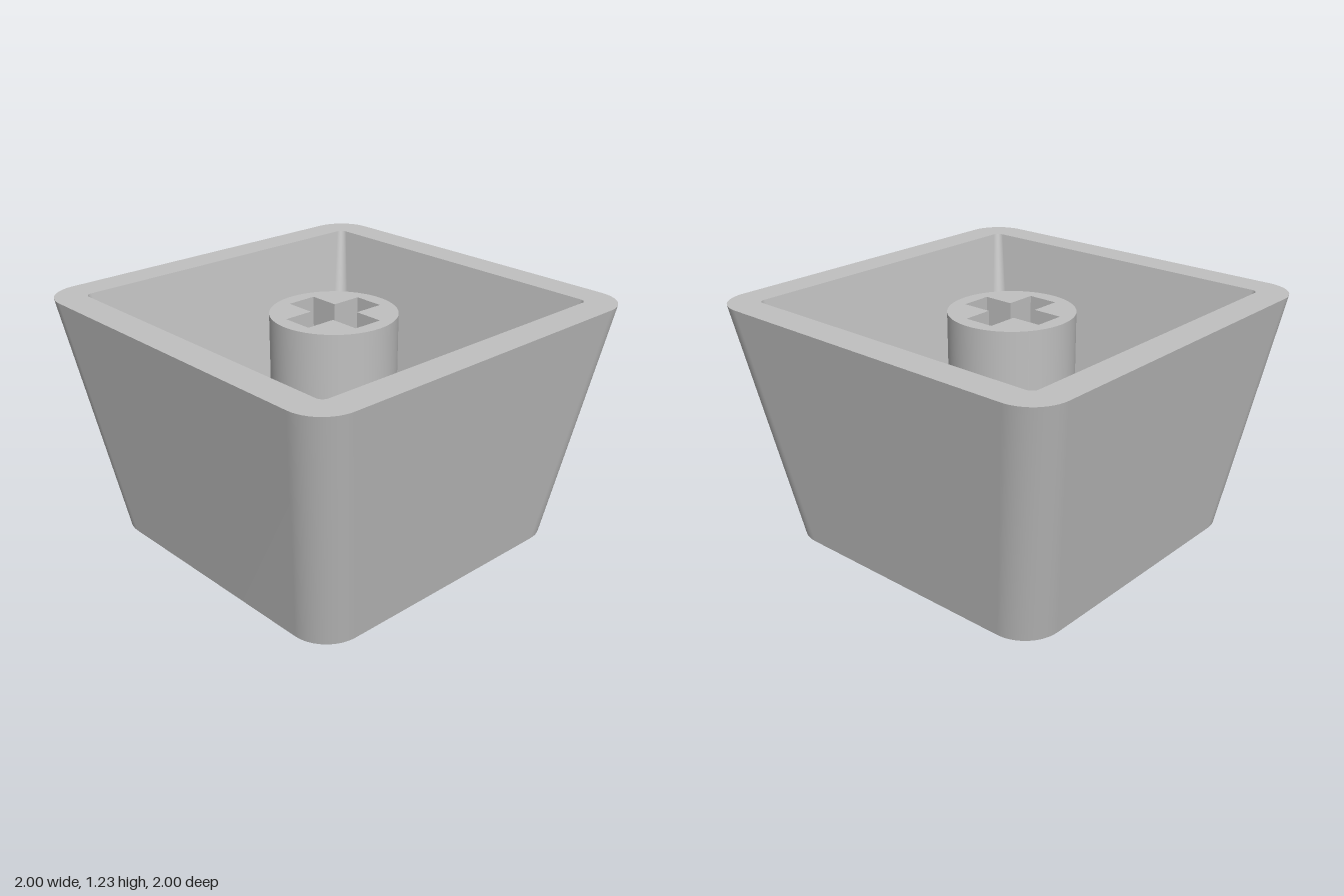
import * as THREE from 'three';
import { toCreasedNormals } from 'three/addons/utils/BufferGeometryUtils.js';

const HEIGHT = 1.225, FLOOR = 0.16, STEM_TOP = 1.155;

// Rounded square outline, counterclockwise, as 2D points
function outline(half, radius, steps = 12) {
  const pts = [];
  for (let c = 0; c < 4; c++) {
    const mid = Math.PI / 4 + c * Math.PI / 2;
    const cx = Math.sign(Math.cos(mid)) * (half - radius);
    const cy = Math.sign(Math.sin(mid)) * (half - radius);
    for (let i = 0; i <= steps; i++) {
      const a = (c + i / steps) * Math.PI / 2;
      pts.push(new THREE.Vector2(cx + radius * Math.cos(a), cy + radius * Math.sin(a)));
    }
  }
  return pts;
}

// Smooth wall between two outlines at different heights
function loft(a, ya, b, yb) {
  const n = a.length, pos = [], index = [];
  a.forEach(p => pos.push(p.x, ya, -p.y));
  b.forEach(p => pos.push(p.x, yb, -p.y));
  for (let i = 0; i < n; i++) {
    const j = (i + 1) % n;
    index.push(i, j, n + j, i, n + j, n + i);
  }
  const g = new THREE.BufferGeometry();
  g.setAttribute('position', new THREE.Float32BufferAttribute(pos, 3));
  g.setIndex(index);
  g.computeVertexNormals();
  return g;
}

// Flat horizontal face, facing up or down
function plate(pts, y, up = true, hole) {
  const shape = new THREE.Shape(pts);
  if (hole) shape.holes.push(new THREE.Path(hole));
  return new THREE.ShapeGeometry(shape).rotateX(up ? -Math.PI / 2 : Math.PI / 2).translate(0, y, 0);
}

export function createModel() {
  const group = new THREE.Group();
  const plastic = new THREE.MeshStandardMaterial({ color: 0xc0c0c0 });
  plastic.name = 'grey plastic';
  const add = (name, geometry) => {
    const mesh = new THREE.Mesh(geometry, plastic);
    mesh.name = name;
    group.add(mesh);
  };

  // Hollow tapered shell
  const outerBase = outline(0.805, 0.19), outerRim = outline(1, 0.18);
  const innerRim = outline(0.845, 0.035), innerFloor = outline(0.65, 0.085);
  add('outerWall', loft(outerBase, 0, outerRim, HEIGHT));
  add('innerWall', loft(innerRim, HEIGHT, innerFloor, FLOOR));
  add('rim', plate(outerRim, HEIGHT, true, innerRim));
  add('innerFloor', plate(innerFloor, FLOOR));
  add('base', plate(outerBase, 0, false));

  // Round stem with a cross-shaped socket
  const stem = new THREE.Shape().absarc(0, 0, 0.31, 0, Math.PI * 2);
  const l = 0.233, w = 0.078, cross = [];
  for (let k = 0; k < 4; k++) {
    for (const [x, y] of [[l, -w], [l, w], [w, w]]) {
      cross.push(new THREE.Vector2(x, y).rotateAround(new THREE.Vector2(), k * Math.PI / 2));
    }
  }
  stem.holes.push(new THREE.Path([...cross, cross[0].clone()]));
  const stemGeometry = new THREE.ExtrudeGeometry(stem, {
    depth: STEM_TOP - FLOOR, bevelEnabled: false, curveSegments: 64,
  }).rotateX(-Math.PI / 2).translate(0, FLOOR, 0);
  add('stem', toCreasedNormals(stemGeometry, 0.5));

  return group;
}
